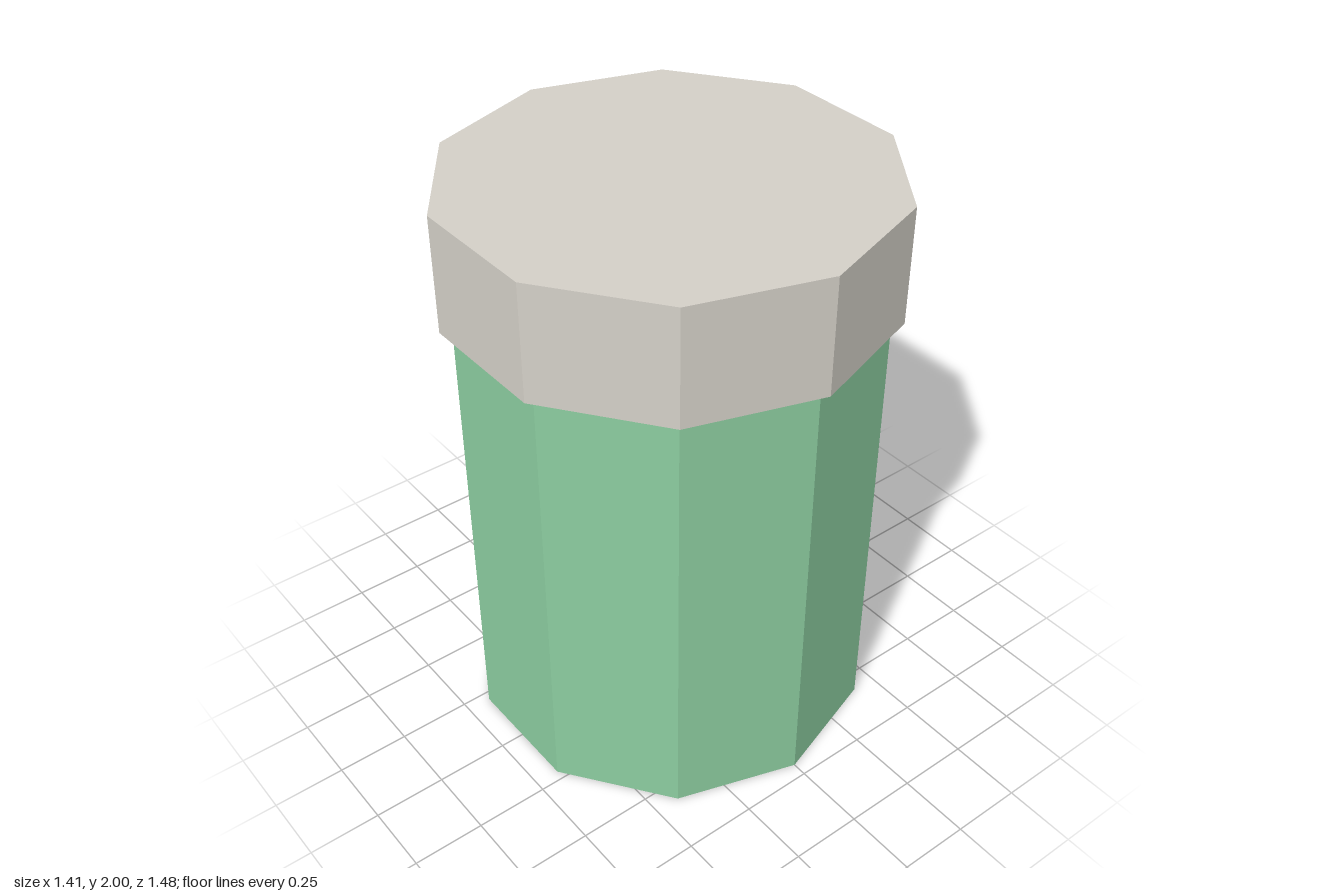
import * as THREE from 'three';

const SIDES = 10;

// Ten-sided prism standing on y = bottom, with a corner facing the front
function prism(name, radius, bottom, top, color) {
  const height = top - bottom;
  const mesh = new THREE.Mesh(
    new THREE.CylinderGeometry(radius, radius, height, SIDES),
    new THREE.MeshStandardMaterial({ color, flatShading: true })
  );
  mesh.position.y = bottom + height / 2;
  mesh.name = name;
  return mesh;
}

export function createModel() {
  const model = new THREE.Group();
  model.name = 'canister';
  model.add(prism('body', 0.7, 0, 1.6, 0x8ccda0)); // green container
  model.add(prism('lid', 0.74, 1.6, 2, 0xd4d0c8)); // slightly wider pale lid
  return model;
}
